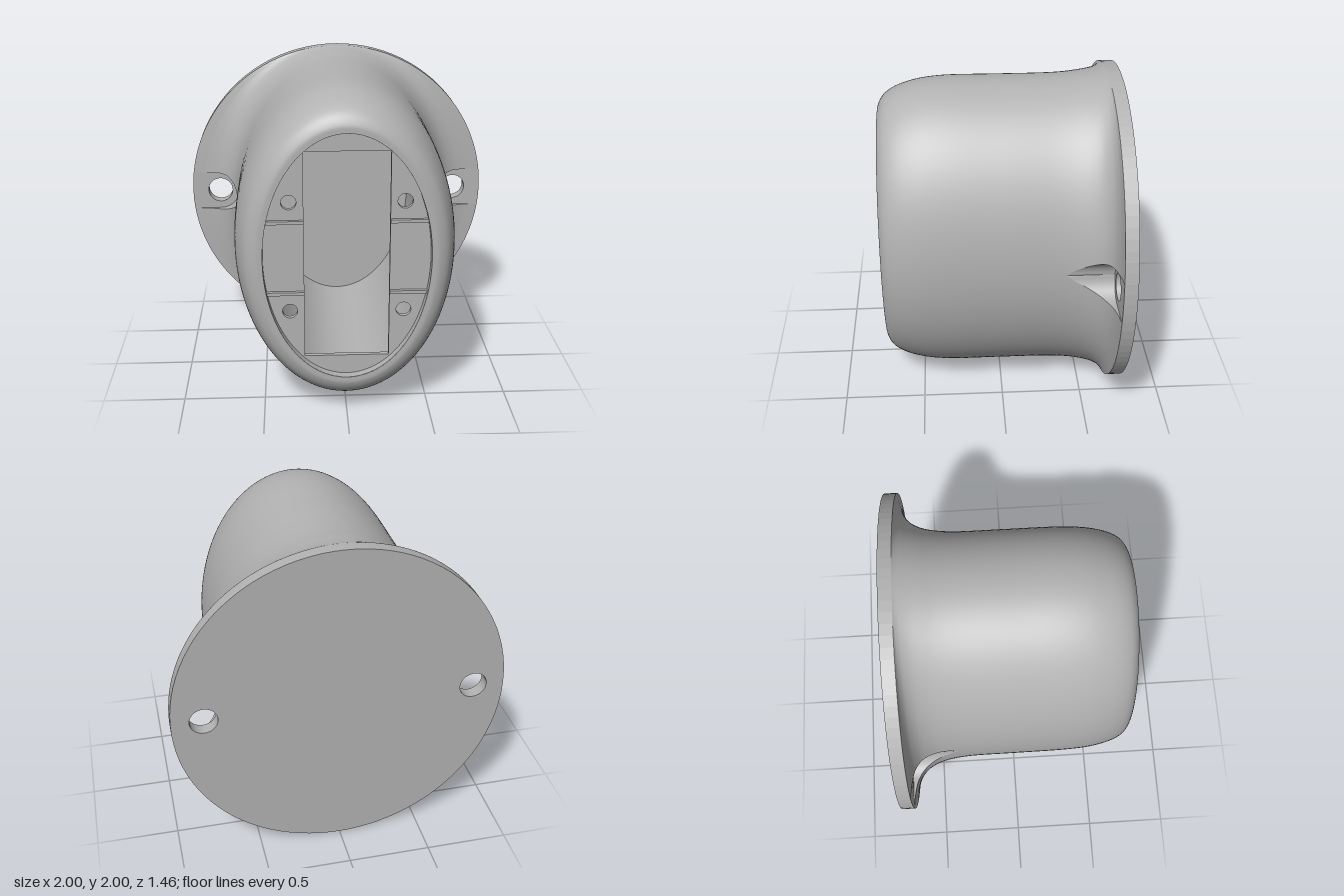
import * as THREE from 'three';
import { mergeVertices } from 'three/addons/utils/BufferGeometryUtils.js';

const BACK = -0.73, SEAT = -0.65, FRONT = 0.73;
const HOLE_X = 0.81, HOLE_R = 0.083, POCKET_R = 0.13;
const OPEN_X = 0.49, OPEN_Y = 0.75;

// body cross-sections, front to back: z, half width, half height
const sections = [
  [0.73, 0.49, 0.75], [0.726, 0.535, 0.795], [0.69, 0.59, 0.855], [0.62, 0.626, 0.903],
  [0.5, 0.654, 0.943], [0.35, 0.666, 0.964], [0, 0.67, 0.966], [-0.3, 0.673, 0.967],
  [-0.42, 0.687, 0.972], [-0.5, 0.71, 0.98], [-0.57, 0.755, 0.987], [-0.615, 0.82, 0.993],
  [-0.638, 0.9, 0.997], [-0.646, 0.96, 0.999], [SEAT, 1, 1],
];

// half height of the screw pocket at a given distance from the centre
function pocketHalf(x) {
  if (x <= HOLE_X - POCKET_R) return 0;
  return x < HOLE_X ? Math.sqrt(POCKET_R ** 2 - (HOLE_X - x) ** 2) : POCKET_R;
}

// angle at which an elliptical ring leaves the pocket
function pocketAngle(rx, ry) {
  if (rx <= HOLE_X - POCKET_R) return 0;
  let lo = 0, hi = 0.5;
  for (let i = 0; i < 40; i++) {
    const mid = (lo + hi) / 2;
    if (ry * Math.sin(mid) < pocketHalf(rx * Math.cos(mid))) lo = mid; else hi = mid;
  }
  return hi;
}

// surface through rows of points
function sheet(rows) {
  const n = rows[0].length, index = [];
  for (let i = 0; i < rows.length - 1; i++) {
    for (let j = 0; j < n - 1; j++) {
      const a = i * n + j, b = a + 1, c = a + n, d = c + 1;
      index.push(a, c, b, b, c, d);
    }
  }
  const g = new THREE.BufferGeometry();
  g.setAttribute('position', new THREE.Float32BufferAttribute(rows.flat(2), 3));
  g.setIndex(index);
  return g;
}

function extrude(shape, depth, z) {
  return new THREE.ExtrudeGeometry(shape, { depth, bevelEnabled: false, curveSegments: 48 }).translate(0, 0, z);
}

function circle(x, y, r) {
  return new THREE.Path().absarc(x, y, r, 0, Math.PI * 2, true);
}

export function createModel() {
  const model = new THREE.Group();
  model.name = 'housing';
  const grey = new THREE.MeshStandardMaterial({ color: 0xb2b2b2, side: THREE.DoubleSide });
  grey.name = 'grey';
  const body = new THREE.Group();
  body.name = 'housingBody';
  body.position.y = 1;
  model.add(body);
  const add = (name, geometry) => {
    const mesh = new THREE.Mesh(geometry, grey);
    mesh.name = name;
    body.add(mesh);
    return mesh;
  };

  // round mounting flange with two screw holes
  const disc = new THREE.Shape().absarc(0, 0, 1, 0, Math.PI * 2, false);
  for (const s of [-1, 1]) disc.holes.push(circle(s * HOLE_X, 0, HOLE_R));
  add('mountingFlange', extrude(disc, SEAT - BACK, BACK));

  // oval shell flaring into the flange, cut away around the screws
  const curve = new THREE.CatmullRomCurve3(sections.map(s => new THREE.Vector3(...s)), false, 'centripetal');
  const rings = curve.getPoints(112);
  const cols = 64, rows = [[], []];
  for (const { x: z, y: rx, z: ry } of rings) {
    const cut = pocketAngle(rx, ry);
    for (const half of [0, 1]) {
      const row = [];
      for (let j = 0; j <= cols; j++) {
        const t = half * Math.PI + cut + (Math.PI - 2 * cut) * j / cols;
        row.push([rx * Math.cos(t), ry * Math.sin(t), z]);
      }
      rows[half].push(row);
    }
  }
  // join both halves so the shading is continuous along the sides
  const upper = sheet(rows[0]), lower = sheet(rows[1]);
  const count = upper.attributes.position.count;
  let shell = new THREE.BufferGeometry();
  shell.setAttribute('position', new THREE.Float32BufferAttribute(
    [...upper.attributes.position.array, ...lower.attributes.position.array], 3));
  shell.setIndex([...upper.index.array, ...Array.from(lower.index.array, i => i + count)]);
  shell = mergeVertices(shell, 1e-5);
  shell.computeVertexNormals();
  add('ovalShell', shell);

  // walls of the screw pockets
  for (const half of [0, 1]) {
    for (const end of [0, cols]) {
      const edge = rows[half].map(r => r[end]).filter(p => Math.abs(p[0]) > HOLE_X - POCKET_R - 0.004);
      const wall = sheet([edge, edge.map(p => [p[0], p[1], SEAT])]);
      wall.computeVertexNormals();
      add('screwPocketWall', wall);
    }
  }

  // hollow interior
  const cavity = new THREE.CylinderGeometry(1, 1, FRONT - SEAT, 72, 1, true)
    .rotateX(Math.PI / 2).scale(OPEN_X, OPEN_Y, 1).translate(0, 0, (FRONT + SEAT) / 2);
  add('cavityWall', cavity);

  // recessed face plate with a rectangular window and four screw holes
  const plate = new THREE.Shape().absellipse(0, 0, OPEN_X, OPEN_Y, 0, Math.PI * 2, false);
  plate.holes.push(new THREE.Path([[-0.25, -0.63], [-0.25, 0.635], [0.25, 0.635], [0.25, -0.63]]
    .map(p => new THREE.Vector2(...p))).closePath());
  for (const x of [-0.335, 0.335]) {
    for (const y of [-0.337, 0.337]) plate.holes.push(circle(x, y, 0.044));
  }
  add('facePlate', extrude(plate, 0.03, 0.645));

  // small ribs beside the window
  for (const x of [-0.362, 0.362]) {
    for (const y of [-0.22, 0.22]) {
      add('plateRib', new THREE.BoxGeometry(0.224, 0.02, 0.025).translate(x, y, 0.685));
    }
  }
  return model;
}
